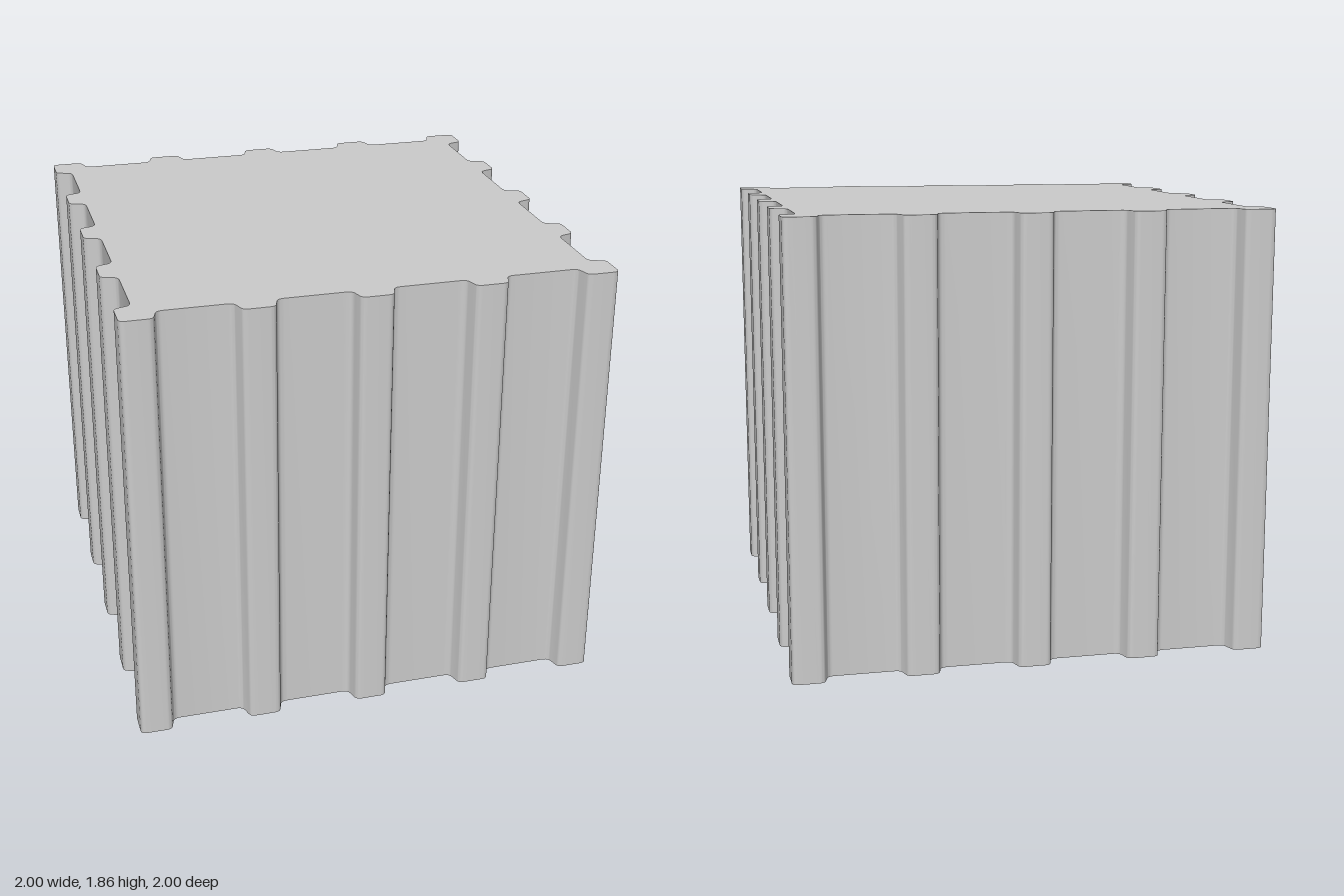
import * as THREE from 'three';
import { toCreasedNormals } from 'three/addons/utils/BufferGeometryUtils.js';

const HEIGHT = 1.86;
const PITCH = 1.4 / 3; // distance between ribs
const VALLEY = 0.93;   // face of the body between ribs

// Square outline with rounded ribs on all four sides
function ribbedOutline() {
  const shape = new THREE.Shape();
  for (let side = 0; side < 4; side++) {
    const c = [1, 0, -1, 0][side], s = [0, 1, 0, -1][side];
    // u runs along the side, v points outwards
    const at = (u, v) => [u * c + v * s, u * s - v * c];
    const line = (u, v) => shape.lineTo(...at(u, v));
    const curve = (cu, cv, u, v) => shape.quadraticCurveTo(...at(cu, cv), ...at(u, v));

    if (side === 0) shape.moveTo(...at(-0.975, 1));
    for (let i = -2; i < 2; i++) {
      const a = i * PITCH, b = a + PITCH;
      // down from one rib, across the valley, up to the next
      line(a + 0.043, 1);
      curve(a + 0.064, 1, a + 0.07, 0.98);
      line(a + 0.079, 0.95);
      curve(a + 0.085, VALLEY, a + 0.113, VALLEY);
      line(b - 0.113, VALLEY);
      curve(b - 0.085, VALLEY, b - 0.079, 0.95);
      line(b - 0.07, 0.98);
      curve(b - 0.064, 1, b - 0.043, 1);
    }
    // rounded outer corner
    line(0.975, 1);
    curve(1, 1, 1, 0.975);
  }
  return shape;
}

export function createModel() {
  const group = new THREE.Group();
  group.name = 'ribbedBlock';

  const extruded = new THREE.ExtrudeGeometry(ribbedOutline(), {
    depth: HEIGHT, bevelEnabled: false, curveSegments: 6,
  });
  extruded.rotateX(-Math.PI / 2);

  const body = new THREE.Mesh(
    toCreasedNormals(extruded, 0.7),
    new THREE.MeshStandardMaterial({ color: 0xcccccc }),
  );
  body.name = 'ribbedBody';
  group.add(body);
  return group;
}
